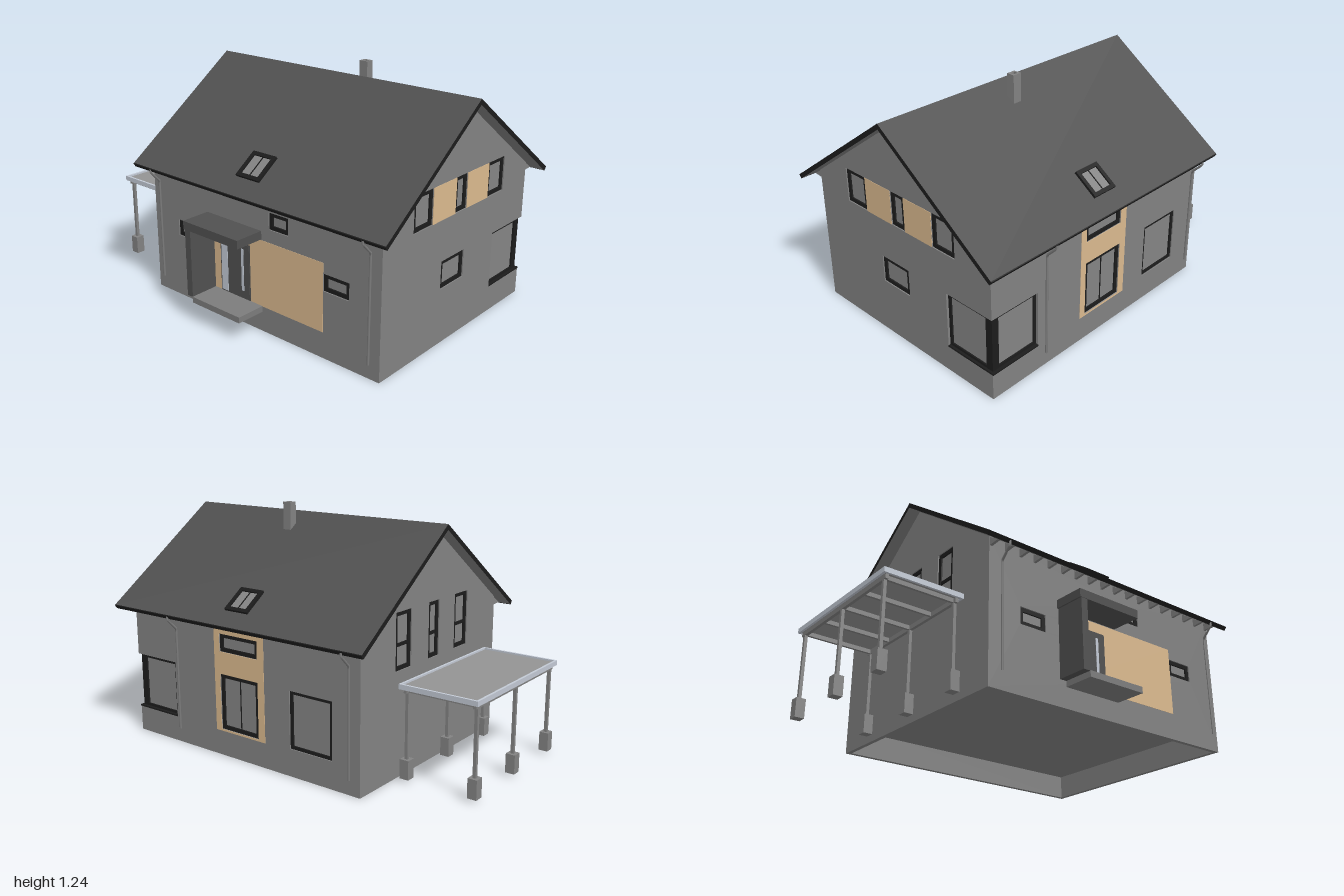
import * as THREE from 'three';

const mat = (name, color) => Object.assign(new THREE.MeshStandardMaterial({ color }), { name });
const M = {
  wall: mat('wall grey', 0x828282), roof: mat('roof grey', 0x515151), trim: mat('black trim', 0x1c1c1c),
  glass: mat('window glass', 0x848484), wood: mat('timber cladding', 0xdab98e), door: mat('door grey', 0x505050),
  pale: mat('pale metal', 0xc2c9d4), panel: mat('carport grey', 0x939393), step: mat('step concrete', 0x7c7c7c),
};

function add(parent, name, geo, material) {
  const m = new THREE.Mesh(geo, material);
  m.name = name;
  parent.add(m);
  return m;
}

// Box given by its min and max on each axis
function box(parent, name, material, x0, x1, y0, y1, z0, z1) {
  const m = add(parent, name, new THREE.BoxGeometry(x1 - x0, y1 - y0, z1 - z0), material);
  m.position.set((x0 + x1) / 2, (y0 + y1) / 2, (z0 + z1) / 2);
  return m;
}

const rect = (u0, u1, y0, y1) => [[u0, y0], [u1, y0], [u1, y1], [u0, y1]];
const toVec = pts => pts.map(([x, y]) => new THREE.Vector2(x, y));

// Flat slab with rectangular holes, its outer face at z = top
function slab(parent, name, material, outline, holes, depth, top = 0) {
  const s = new THREE.Shape(toVec(outline));
  holes.forEach(h => s.holes.push(new THREE.Path(toVec(rect(...h)))));
  const g = new THREE.ExtrudeGeometry(s, { depth, bevelEnabled: false });
  g.translate(0, 0, top - depth);
  return add(parent, name, g, material);
}

// Profile across the house (u = -z, y), swept along x
function sweepX(parent, name, material, pts, x0, x1) {
  const g = new THREE.ExtrudeGeometry(new THREE.Shape(toVec(pts)), { depth: x1 - x0, bevelEnabled: false });
  g.rotateY(Math.PI / 2).translate(x0, 0, 0);
  return add(parent, name, g, material);
}

// Framed window, set back from the wall face
function windowUnit(parent, name, [u0, u1, y0, y1], { f = 0.02, bars = 0, top = -0.006 } = {}) {
  const g = new THREE.Group();
  g.name = name;
  parent.add(g);
  slab(g, 'windowFrame', M.trim, rect(u0, u1, y0, y1), [[u0 + f, u1 - f, y0 + f, y1 - f]], 0.014, top);
  box(g, 'windowGlass', M.glass, u0 + f / 2, u1 - f / 2, y0 + f / 2, y1 - f / 2, top - 0.013, top - 0.008);
  for (let i = 1; i <= bars; i++) {
    const u = u0 + (u1 - u0) * i / (bars + 1);
    box(g, 'windowBar', M.trim, u - 0.002, u + 0.002, y0 + f, y1 - f, top - 0.01, top - 0.004);
  }
  return g;
}

// House extents and roof line (RU is the ridge measured along -z)
const X0 = -0.555, X1 = 0.928, ZF = 0.563, ZB = -0.643, RU = 0.04, RY = 1.188;
const TILT = Math.atan(0.485 / 0.68), LEN = 0.839, SILL = 0.14, HEAD = 0.43;

// A wall's local frame: u to the viewer's right, y up, z outward
function wallFrame(house, name, x, z, turn) {
  const g = new THREE.Group();
  g.name = name;
  g.position.set(x, 0, z);
  g.rotation.y = turn;
  house.add(g);
  return g;
}

function buildWalls(house) {
  // Front
  const front = wallFrame(house, 'frontWall', 0, ZF, 0);
  const fw = [[-0.377, -0.227, 0.343, 0.43], [0.602, 0.752, 0.343, 0.43], [0.267, 0.39, 0.55, 0.637]];
  slab(front, 'frontWallFace', M.wall, rect(X0, X1, 0, 0.732), fw, 0.022);
  fw.forEach(w => windowUnit(front, 'frontWindow', w));
  box(front, 'frontCladding', M.wood, -0.11, 0.602, 0.134, 0.483, -0.002, 0.0015);

  // Back, where u = -x, notched for the corner window
  const back = wallFrame(house, 'backWall', 0, ZB, Math.PI);
  const cladHoles = [[-0.312, -0.06, SILL, HEAD], [-0.312, -0.06, 0.545, 0.637]];
  const cornerU = -0.64;
  const single = [0.14, 0.395, SILL, HEAD];
  const backOutline = [[-X1, 0], [-X0, 0], [-X0, 0.73], [-X1, 0.73], [-X1, HEAD], [cornerU, HEAD], [cornerU, SILL], [-X1, SILL]];
  slab(back, 'backWallFace', M.wall, backOutline, [...cladHoles, single], 0.022);
  slab(back, 'backCladding', M.wood, rect(-0.348, -0.018, 0.13, 0.725), cladHoles, 0.003, 0.0015);
  windowUnit(back, 'terraceDoor', cladHoles[0], { bars: 1 });
  windowUnit(back, 'backUpperWindow', cladHoles[1]);
  windowUnit(back, 'backWindow', single, { f: 0.016 });
  windowUnit(back, 'cornerWindowBack', [-X1 + 0.012, cornerU, SILL, HEAD], { f: 0.016, top: -0.012 });

  // +x gable end, where u = -z, notched for the corner window
  const left = wallFrame(house, 'leftGableWall', X1, 0, Math.PI / 2);
  const roofLine = [[-ZB, 0.727], [RU, 1.16], [-ZF, 0.73]];
  const upper = [[-0.342, -0.195, 0.64, 0.817], [-0.01, 0.085, 0.64, 0.817], [0.273, 0.42, 0.64, 0.817]];
  const lower = [-0.105, 0.087, 0.287, 0.43];
  const notch = [[-ZB, SILL], [0.35, SILL], [0.35, HEAD], [-ZB, HEAD]];
  slab(left, 'leftGableFace', M.wall, [[-ZF, 0], [-ZB, 0], ...notch, ...roofLine], [...upper, lower], 0.022);
  upper.forEach(w => windowUnit(left, 'gableWindow', w));
  windowUnit(left, 'leftWindow', lower);
  windowUnit(left, 'cornerWindowSide', [0.35, -ZB - 0.012, SILL, HEAD], { f: 0.016, top: -0.012 });
  box(left, 'gableCladding', M.wood, -0.195, -0.01, 0.64, 0.817, -0.002, 0.0015);
  box(left, 'gableCladding', M.wood, 0.085, 0.273, 0.64, 0.817, -0.002, 0.0015);

  // -x gable end, where u = z
  const right = wallFrame(house, 'rightGableWall', X0, 0, -Math.PI / 2);
  const narrow = [[-0.37, -0.24, 0.53, 0.812], [-0.09, 0.005, 0.53, 0.812], [0.15, 0.275, 0.53, 0.812]];
  const mirrored = [[-ZF, 0], [-ZB, 0], ...roofLine].map(([u, y]) => [-u, y]).reverse();
  slab(right, 'rightGableFace', M.wall, mirrored, narrow, 0.022);
  narrow.forEach(w => {
    windowUnit(right, 'rightGableWindow', w);
    box(right, 'windowTransom', M.trim, w[0], w[1], 0.645, 0.661, -0.018, -0.007);
  });

  // Corner window post and sills, floor inside the plinth
  box(house, 'cornerPost', M.trim, X1 - 0.05, X1 - 0.011, SILL, HEAD, ZB + 0.011, ZB + 0.05);
  box(house, 'cornerSillSide', M.trim, X1 - 0.024, X1 + 0.001, SILL - 0.005, SILL + 0.003, ZB - 0.004, -0.35);
  box(house, 'cornerSillBack', M.trim, 0.64, X1 + 0.001, SILL - 0.005, SILL + 0.003, ZB - 0.004, ZB + 0.024);
  box(house, 'floorSlab', M.wall, X0 + 0.01, X1 - 0.01, 0.125, 0.137, ZB + 0.01, ZF - 0.01);
}

function buildRoof(house) {
  const rx0 = -0.62, rx1 = 1;
  const eaveF = [[-0.643, 0.702], [-0.629, 0.687]], eaveB = [[0.709, 0.686], [0.723, 0.702]];
  sweepX(house, 'roof', [M.trim, M.roof], [...eaveF, [RU, 1.163], ...eaveB, [RU, RY]], rx0, rx1);
  sweepX(house, 'soffit', [M.trim, M.step], [eaveF[1], [-0.627, 0.685], [RU, 1.16], [0.707, 0.684], eaveB[0], [RU, 1.163]], rx0, rx1);

  // Wedge-shaped rafter tails under both eaves
  for (let i = 0; i < 18; i++) {
    const x = X0 + 0.01 + i * 0.086;
    sweepX(house, 'rafterTail', M.wall, [[-0.622, 0.688], [-ZF, 0.684], [-ZF, 0.727]], x - 0.007, x + 0.007);
    sweepX(house, 'rafterTail', M.wall, [[-ZB, 0.684], [0.702, 0.688], [-ZB, 0.726]], x - 0.007, x + 0.007);
  }

  // Each slope's frame: z runs down from the ridge, y points outward
  for (const s of [1, -1]) {
    const slope = new THREE.Group();
    slope.name = s > 0 ? 'frontSlope' : 'backSlope';
    slope.position.set(0, RY, -RU);
    slope.rotation.set(TILT, s > 0 ? 0 : Math.PI, 0, 'YXZ');
    house.add(slope);
    const a = s > 0 ? rx0 : -rx1, b = s > 0 ? rx1 : -rx0;
    box(slope, 'eaveFascia', M.trim, a, b, -0.022, 0.001, LEN - 0.003, LEN + 0.002);
    const sky = new THREE.Group();
    sky.name = 'skylight';
    sky.rotation.x = -Math.PI / 2;
    slope.add(sky);
    windowUnit(sky, 'skylightWindow', s > 0 ? [0.052, 0.202, -0.731, -0.577] : [-0.264, -0.117, -0.738, -0.588],
      { bars: 1, top: 0.0135 });
  }

  // Hollow-topped chimney
  const chimney = slab(house, 'chimney', M.wall, rect(0.251, 0.299, 0.12, 0.163), [[0.263, 0.287, 0.131, 0.152]], 0.2);
  chimney.rotation.x = -Math.PI / 2;
  chimney.position.y = 1.243;
  box(house, 'chimneyCore', M.wall, 0.26, 0.29, 1.04, 1.22, -0.156, -0.129);
}

function buildDownpipes(house) {
  for (const [x, eave, run] of [[-0.493, 0.637, 0.582], [0.879, 0.637, 0.582], [-0.505, -0.718, -0.661], [0.6, -0.718, -0.661]]) {
    const path = new THREE.CurvePath();
    const p = [[0.695, eave], [0.677, eave], [0.62, run], [0.082, run]].map(([y, z]) => new THREE.Vector3(x, y, z));
    for (let i = 0; i < 3; i++) path.add(new THREE.LineCurve3(p[i], p[i + 1]));
    add(house, 'downpipe', new THREE.TubeGeometry(path, 40, 0.006, 8), M.step);
  }
}

function buildEntrance(house) {
  const e = new THREE.Group();
  e.name = 'entrance';
  house.add(e);
  box(e, 'porchStep', M.step, -0.11, 0.217, 0.105, 0.136, ZF, 0.723);
  box(e, 'porchSideWall', M.door, -0.147, -0.11, 0.134, 0.488, ZF, 0.721);
  box(e, 'porchCanopy', M.door, -0.155, 0.217, 0.487, 0.53, ZF, 0.723);
  const z = ZF + 0.0015;
  box(e, 'doorFrame', M.door, -0.064, 0.14, 0.136, 0.432, z, z + 0.0015);
  box(e, 'doorSidelight', M.pale, -0.058, -0.014, 0.142, 0.426, z, z + 0.003);
  box(e, 'doorLeaf', M.door, -0.006, 0.135, 0.138, 0.427, z, z + 0.003);
  box(e, 'doorSlot', M.pale, 0.082, 0.098, 0.178, 0.402, z, z + 0.0045);
}

function buildCarport(model) {
  const c = new THREE.Group();
  c.name = 'carport';
  model.add(c);
  const x0 = -1, x1 = -0.585, z0 = -0.388, z1 = 0.416, r = 0.012;
  const rim = slab(c, 'carportRim', M.pale, rect(x0, x1, -z1, -z0), [[x0 + r, x1 - r, -z1 + r, -z0 - r]], 0.025);
  rim.rotation.x = -Math.PI / 2;
  rim.position.y = 0.485;
  box(c, 'carportPanel', M.panel, x0 + 0.005, x1 - 0.005, 0.463, 0.476, z0 + 0.005, z1 - 0.005);
  for (const x of [-0.976, -0.612]) {
    box(c, 'carportBeam', M.wall, x - 0.008, x + 0.008, 0.44, 0.463, z0 + 0.015, z1 - 0.015);
    for (const z of [-0.35, 0.015, 0.38]) {
      box(c, 'carportPost', M.wall, x - 0.008, x + 0.008, 0.1, 0.445, z - 0.008, z + 0.008);
      box(c, 'carportFooting', M.wall, x - 0.024, x + 0.024, 0.015, 0.112, z - 0.024, z + 0.024);
    }
  }
  for (const z of [-0.35, -0.17, 0.015, 0.2, 0.38])
    box(c, 'carportCrossBeam', M.wall, -0.976, -0.612, 0.442, 0.463, z - 0.007, z + 0.007);
}

export function createModel() {
  const model = new THREE.Group();
  model.name = 'house';
  buildWalls(model);
  buildRoof(model);
  buildDownpipes(model);
  buildEntrance(model);
  buildCarport(model);
  return model;
}
